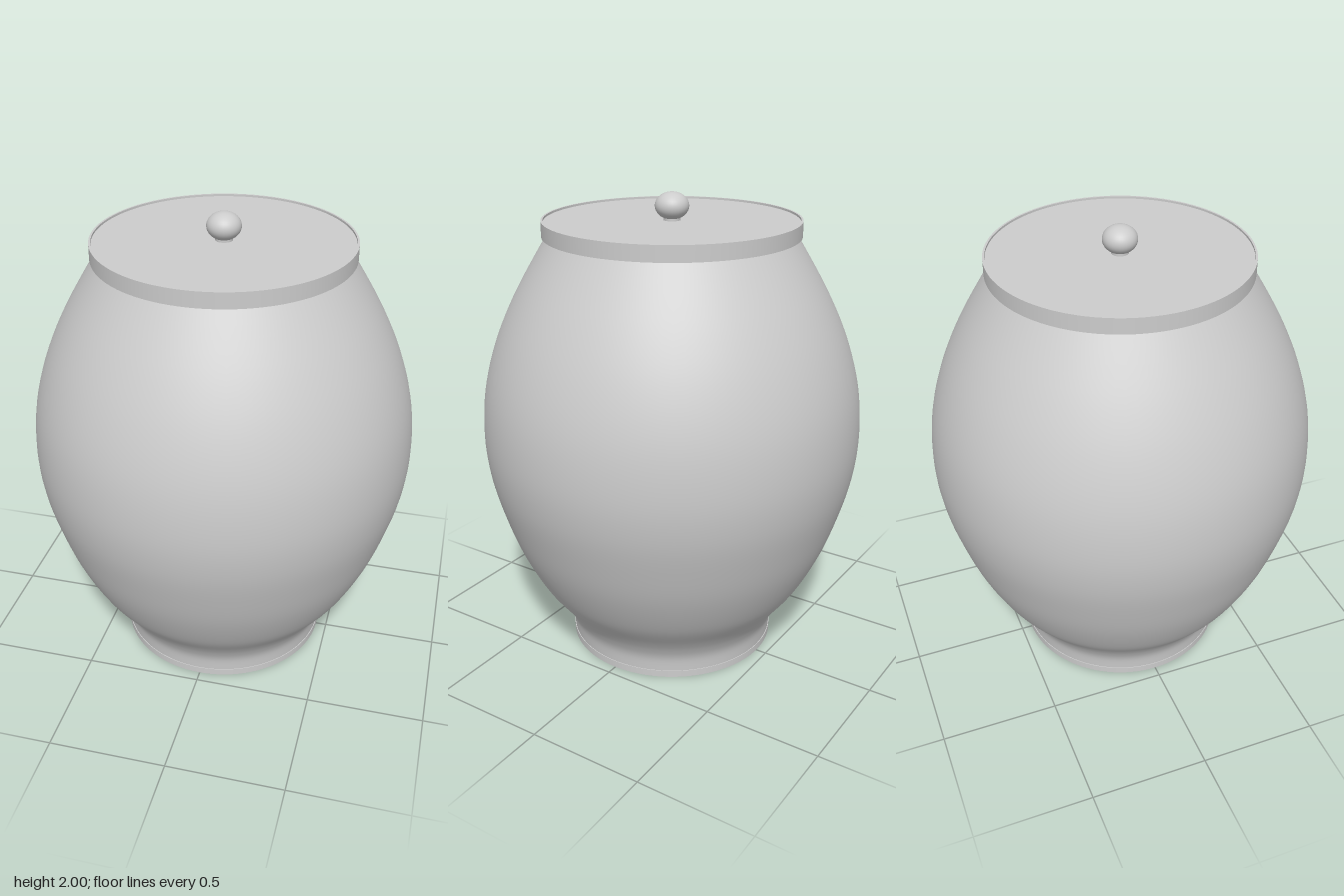
import * as THREE from 'three';

const V = (p) => p.map(([r, y]) => new THREE.Vector2(r, y));

// Revolve a profile, with hard edges between the separate sections
function turned(name, sections, material, segments = 96) {
  const group = new THREE.Group();
  group.name = name;
  for (const [part, points] of Object.entries(sections)) {
    const mesh = new THREE.Mesh(new THREE.LatheGeometry(points, segments), material);
    mesh.name = part;
    group.add(mesh);
  }
  return group;
}

export function createModel() {
  const model = new THREE.Group();
  model.name = 'lidded urn';
  const clay = new THREE.MeshStandardMaterial({ color: 0xcccccc });
  clay.name = 'light grey';

  // Belly swelling from a narrow waist above the foot to the mouth
  const belly = new THREE.SplineCurve(V([
    [0.45, 0.03], [0.456, 0.09], [0.475, 0.14], [0.512, 0.2], [0.6, 0.32], [0.682, 0.48],
    [0.74, 0.64], [0.788, 0.82], [0.806, 1.0], [0.79, 1.2], [0.735, 1.4],
    [0.645, 1.6], [0.508, 1.835],
  ])).getPoints(72);
  model.add(turned('body', {
    base: V([[0, 0], [0.453, 0]]),
    foot: V([[0.453, 0], [0.453, 0.03]]),
    footLedge: V([[0.453, 0.03], [0.45, 0.03]]),
    belly,
  }, clay));

  // Flat lid with a thin raised rim
  model.add(turned('lid', {
    lidUnderside: V([[0, 1.83], [0.53, 1.83]]),
    lidEdge: V([[0.53, 1.83], [0.53, 1.895]]),
    rimTop: V([[0.53, 1.895], [0.522, 1.895]]),
    rimInside: V([[0.522, 1.895], [0.522, 1.886]]),
    lidTop: V([[0.522, 1.886], [0, 1.886]]),
  }, clay));

  // Flattened ball knob
  const knob = new THREE.Mesh(new THREE.SphereGeometry(0.07, 32, 20), clay);
  knob.name = 'knob';
  knob.scale.y = 0.8;
  knob.position.y = 1.944;
  model.add(knob);
  const stem = new THREE.Mesh(new THREE.CylinderGeometry(0.035, 0.035, 0.022, 32), clay);
  stem.name = 'knobStem';
  stem.position.y = 1.895;
  model.add(stem);

  return model;
}
